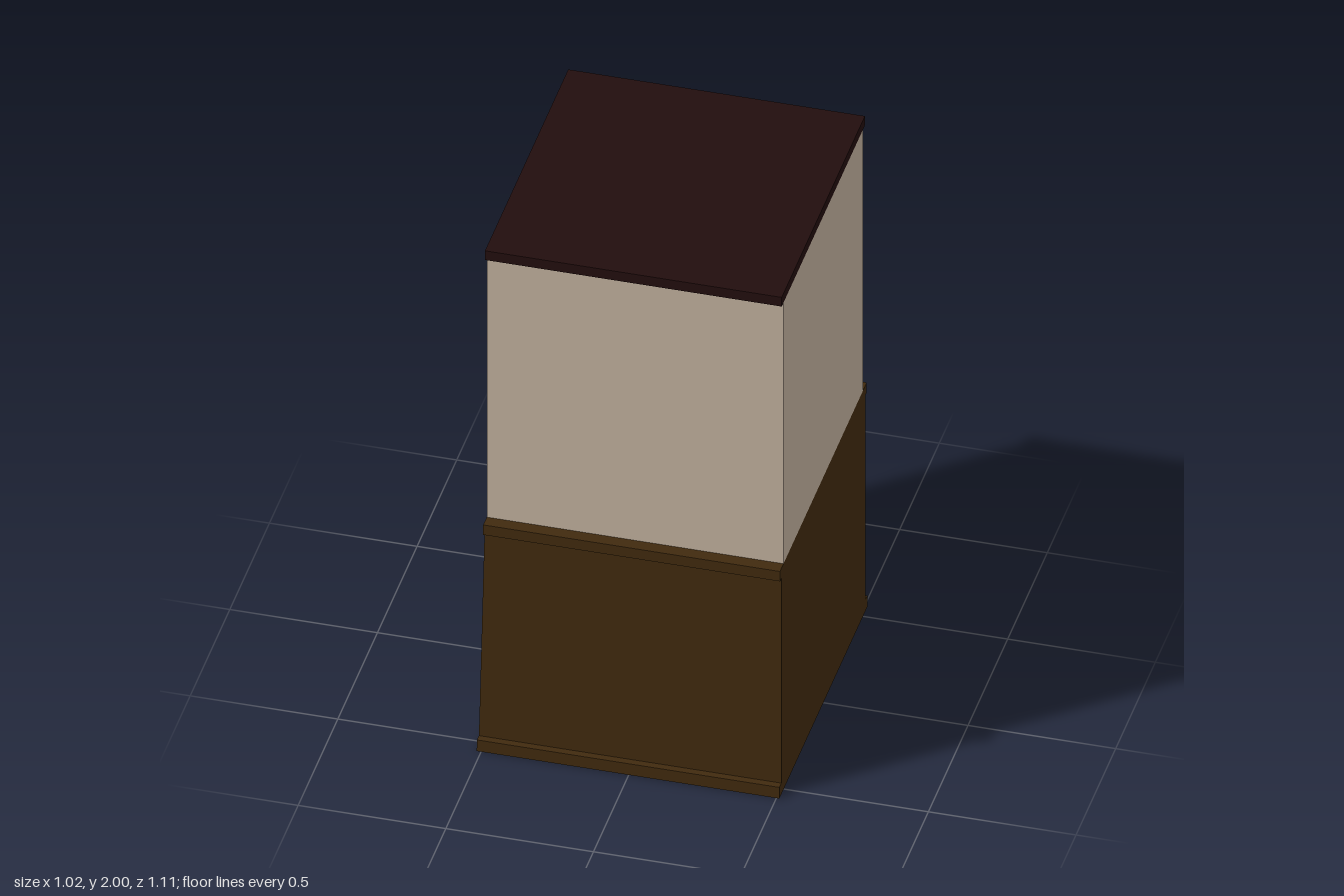
import * as THREE from 'three';

const RIGHT = 0.51;
const TOP_LEFT = -0.495;
const BASE_LEFT = -0.515;
const SLOPE_TOP = 0.87;

// The model's -x wall leans outwards below the counter trim
function leftAt(y) {
  const t = Math.min(y / SLOPE_TOP, 1);
  return THREE.MathUtils.lerp(BASE_LEFT, TOP_LEFT, t);
}

// Block with a trapezoid front, extruded through the depth
function block(name, y0, y1, halfDepth, material) {
  const shape = new THREE.Shape([
    new THREE.Vector2(leftAt(y0), y0),
    new THREE.Vector2(RIGHT, y0),
    new THREE.Vector2(RIGHT, y1),
    new THREE.Vector2(leftAt(y1), y1),
  ]);
  const geometry = new THREE.ExtrudeGeometry(shape, { depth: halfDepth * 2, bevelEnabled: false });
  geometry.translate(0, 0, -halfDepth);
  const mesh = new THREE.Mesh(geometry, material);
  mesh.name = name;
  return mesh;
}

function flat(name, color) {
  const material = new THREE.MeshStandardMaterial({ color });
  material.name = name;
  return material;
}

export function createModel() {
  const brown = flat('darkBrownWood', 0x402a0e);
  const plaster = flat('beigePlaster', 0xbfae9c);
  const maroon = flat('darkMaroon', 0x220d0d);

  const model = new THREE.Group();
  model.name = 'panelledBlock';
  model.add(
    block('basePlinth', 0, 0.045, 0.555, brown),
    block('lowerPanel', 0.045, 0.87, 0.53, brown),
    block('middleTrim', 0.87, 0.91, 0.547, brown),
    block('upperWall', 0.91, 1.963, 0.502, plaster),
    block('topCap', 1.963, 2, 0.525, maroon),
  );
  return model;
}
